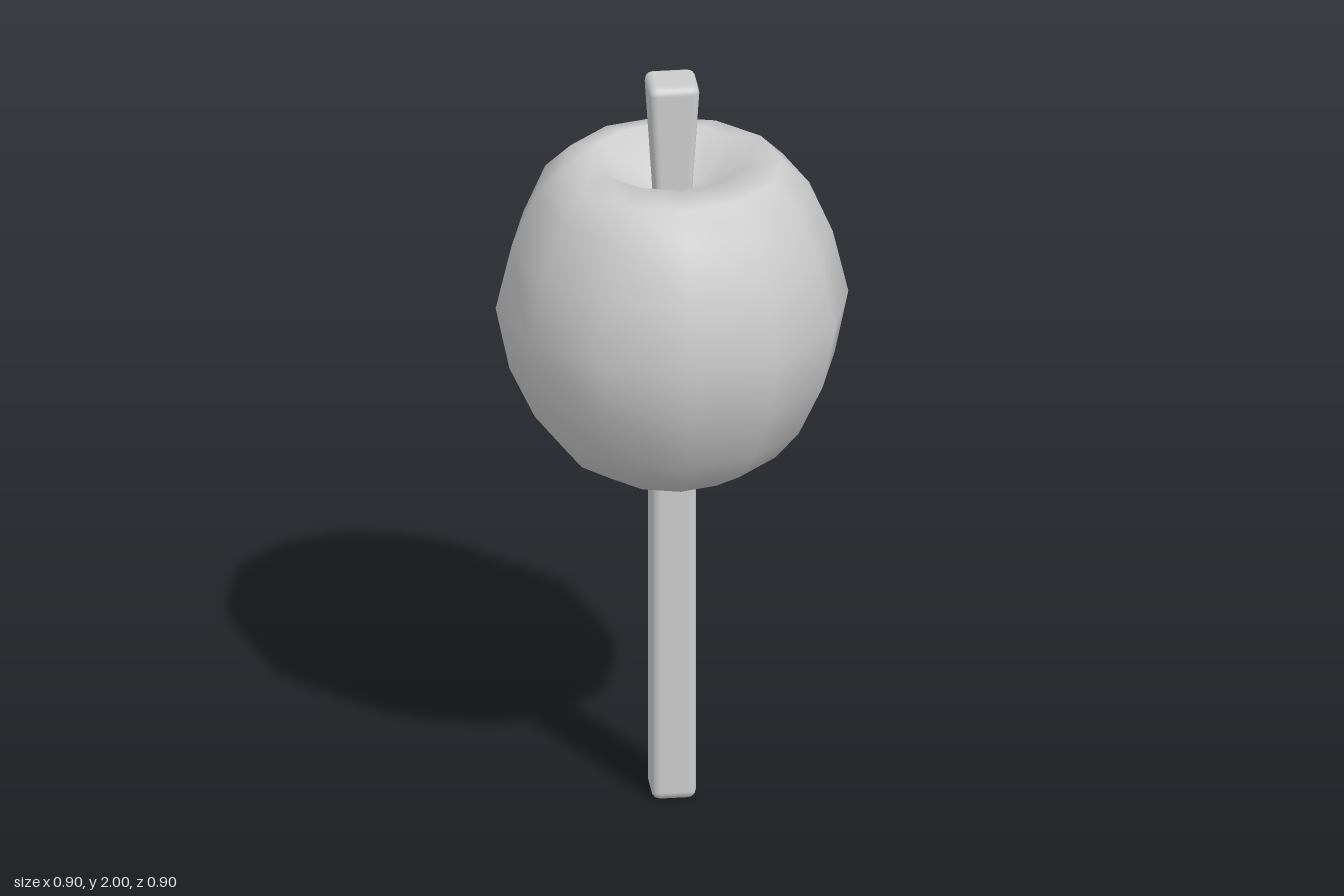
import * as THREE from 'three';
import { RoundedBoxGeometry } from 'three/addons/geometries/RoundedBoxGeometry.js';

const grey = new THREE.MeshStandardMaterial({ color: 0xcccccc });
grey.name = 'light grey';

function addPart(group, name, geometry) {
  const mesh = new THREE.Mesh(geometry, grey);
  mesh.name = name;
  group.add(mesh);
}

// Square bar with rounded edges, running from y0 to y1, its half width changing from h0 to h1
function bar(y0, y1, h0, h1) {
  const height = y1 - y0;
  const geometry = new RoundedBoxGeometry(2 * h1, height, 2 * h1, 2, 0.022);
  geometry.translate(0, height / 2, 0);
  const pos = geometry.attributes.position;
  for (let i = 0; i < pos.count; i++) {
    const s = THREE.MathUtils.lerp(h0, h1, pos.getY(i) / height) / h1;
    pos.setXYZ(i, pos.getX(i) * s, pos.getY(i) + y0, pos.getZ(i) * s);
  }
  return geometry;
}

// Twelve-sided apple with a deep hollow on top and a slight one below
function appleBody() {
  const profile = [
    [0, 0.945], [0.1, 0.91], [0.19, 0.93], [0.285, 0.99], [0.35, 1.07],
    [0.415, 1.21], [0.45, 1.38], [0.41, 1.55], [0.35, 1.69], [0.28, 1.76],
    [0.2, 1.78], [0.1, 1.69], [0, 1.65],
  ].map(([r, y]) => new THREE.Vector2(r, y));
  return new THREE.LatheGeometry(profile, 12);
}

export function createModel() {
  const group = new THREE.Group();
  group.name = 'appleOnStick';
  addPart(group, 'apple', appleBody());
  addPart(group, 'stick', bar(0, 1.05, 0.057, 0.057));
  addPart(group, 'stem', bar(1.6, 2, 0.042, 0.066));
  return group;
}
